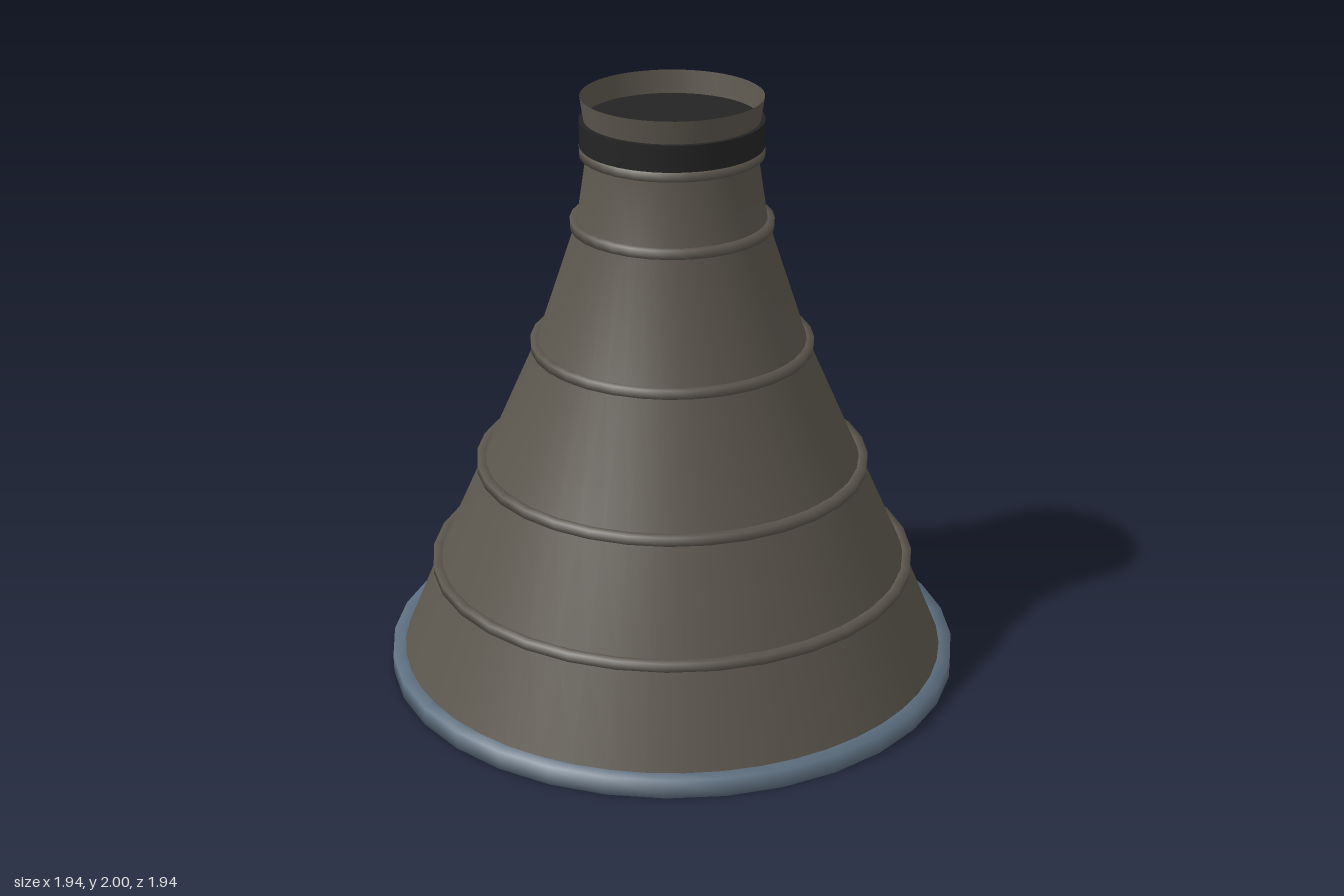
import * as THREE from 'three';

const v = (x, y) => new THREE.Vector2(x, y);

export function createModel() {
  const shellMetal = new THREE.MeshStandardMaterial({ color: 0x5c574e, side: THREE.DoubleSide });
  const rimSteel = new THREE.MeshStandardMaterial({ color: 0x5f7182 });
  const darkCollar = new THREE.MeshStandardMaterial({ color: 0x242424 });

  const model = new THREE.Group();
  model.name = 'nozzle';
  const add = (name, geometry, material, y = 0) => {
    const mesh = new THREE.Mesh(geometry, material);
    mesh.name = name;
    mesh.position.y = y;
    model.add(mesh);
  };

  // Hoop with a square section and softly shaded corners
  const hoop = (outer, size) => {
    const inner = outer - size, h = size / 2;
    return new THREE.LatheGeometry([
      v(inner, 0), v(inner, -h), v(outer, -h), v(outer, h), v(inner, h), v(inner, 0),
    ], 32);
  };

  // Thin open bell, narrowing to the throat and flaring at the inlet
  const profile = [
    [0.945, 0.03], [0.925, 0.065], [0.795, 0.38], [0.635, 0.74], [0.45, 1.16],
    [0.312, 1.577], [0.278, 1.8], [0.273, 1.85], [0.284, 1.92], [0.296, 2.0],
  ].map(([r, y]) => v(r, y));
  add('bellShell', new THREE.LatheGeometry(profile, 48), shellMetal);

  // Stiffening hoops up the bell: outer radius, height
  [[0.82, 0.38], [0.66, 0.74], [0.47, 1.16], [0.333, 1.577], [0.3, 1.82]].forEach(([r, y], i) =>
    add('stiffenerHoop' + (i + 1), hoop(r, 0.03), shellMetal, y));

  // Heavy rim at the exit
  add('exitRim', hoop(0.97, 0.064), rimSteel, 0.032);

  // Dark collar closing the throat
  add('throatCollar', new THREE.CylinderGeometry(0.299, 0.299, 0.087, 48), darkCollar, 1.88);

  return model;
}
